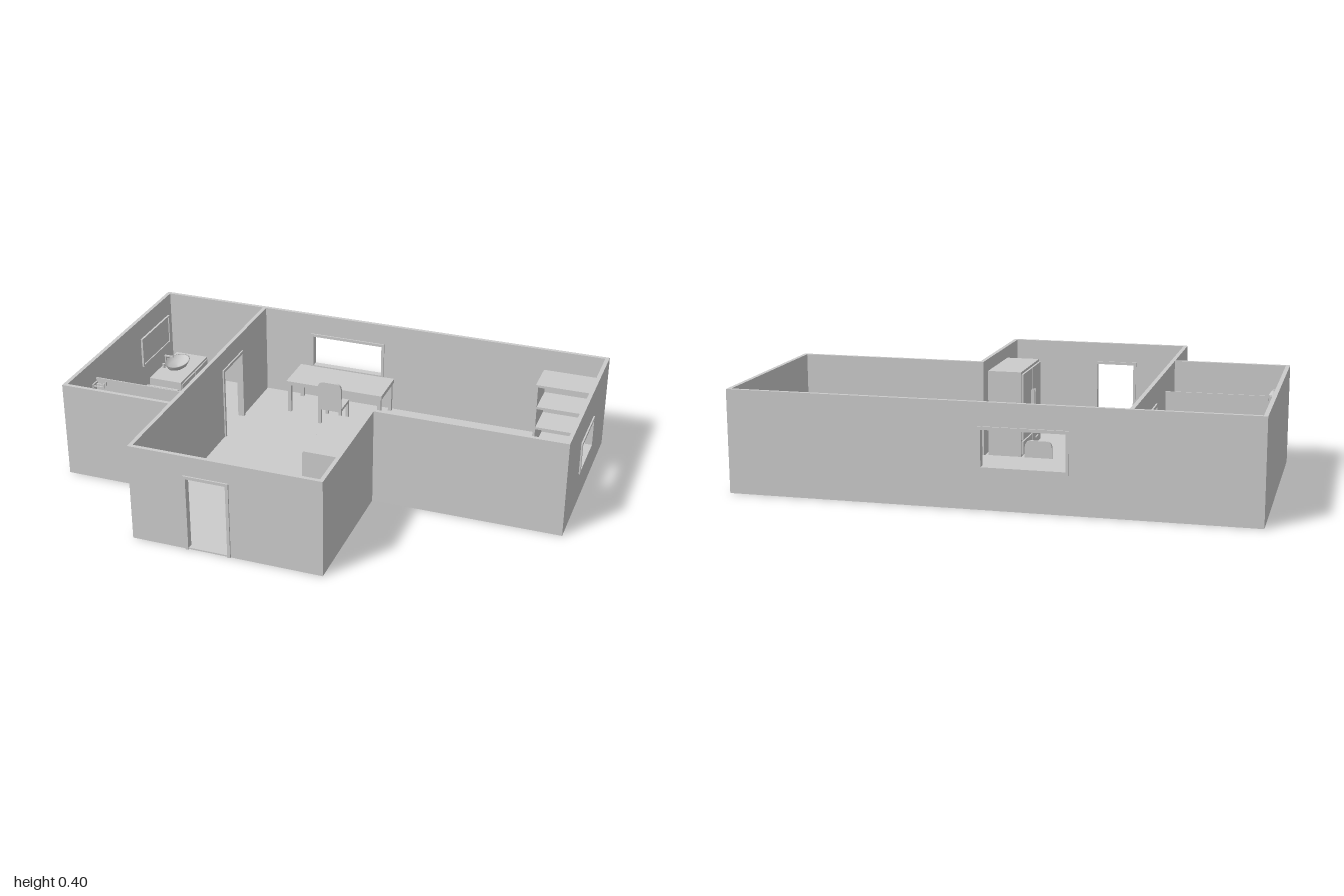
import * as THREE from 'three';

const mat = new THREE.MeshStandardMaterial({ color: 0xcccccc, side: THREE.DoubleSide });
const H = 0.4, T = 0.016;

function add(parent, name, geo, x = 0, y = 0, z = 0) {
  const m = new THREE.Mesh(geo, mat);
  m.name = name;
  m.position.set(x, y, z);
  parent.add(m);
  return m;
}

// box given by its lower and upper limits on each axis
function box(parent, name, x0, x1, y0, y1, z0, z1) {
  return add(parent, name, new THREE.BoxGeometry(x1 - x0, y1 - y0, z1 - z0),
    (x0 + x1) / 2, (y0 + y1) / 2, (z0 + z1) / 2);
}

function group(parent, name) {
  const g = new THREE.Group();
  g.name = name;
  parent.add(g);
  return g;
}

function cyl(parent, name, r0, r1, h, x, y, z, n = 24) {
  return add(parent, name, new THREE.CylinderGeometry(r0, r1, h, n), x, y, z);
}

// wall along x or z, centred on 'at', with an optional opening [from, to, bottom, top]
function wall(parent, name, axis, a, b, at, open) {
  const g = group(parent, name);
  const pts = [[a, 0], [b, 0], [b, H], [a, H]];
  const door = open && open[2] === 0;
  if (door) pts.splice(1, 0, [open[0], 0], [open[0], open[3]], [open[1], open[3]], [open[1], 0]);
  const shape = new THREE.Shape(pts.map(p => new THREE.Vector2(...p)));
  if (open && !door) {
    const [l, r, d, u] = open;
    shape.holes.push(new THREE.Path([[l, d], [l, u], [r, u], [r, d]].map(p => new THREE.Vector2(...p))));
  }
  add(g, 'wallPanel', new THREE.ExtrudeGeometry(shape, { depth: T, bevelEnabled: false }), 0, 0, -T / 2);
  if (open) { // trim around the opening
    const [l, r, d, u] = open, w = 0.012, t = T / 2 + 0.006;
    box(g, 'trimSide', l - w / 2, l + w / 2, d, u, -t, t);
    box(g, 'trimSide', r - w / 2, r + w / 2, d, u, -t, t);
    box(g, 'trimTop', l - w / 2, r + w / 2, u - w / 2, u + w / 2, -t, t);
    if (!door) box(g, 'trimSill', l - w / 2, r + w / 2, d - w / 2, d + w / 2, -t, t);
  }
  if (axis === 'z') { g.rotation.y = -Math.PI / 2; g.position.x = at; }
  else g.position.z = at;
}

function buildShell(root) {
  const plan = [[-1, -0.68], [1, -0.68], [1, 0.1], [0.235, 0.1], [0.235, 0.67], [-0.535, 0.67], [-0.535, 0.31], [-1, 0.31]];
  const floor = new THREE.ExtrudeGeometry(
    new THREE.Shape(plan.map(([x, z]) => new THREE.Vector2(x, -z))), { depth: 0.006, bevelEnabled: false });
  floor.rotateX(-Math.PI / 2);
  add(root, 'floor', floor);
  const h = T / 2;
  wall(root, 'backWall', 'x', -1, 1, -0.68 + h, [-0.3, 0.025, 0.155, 0.305]);
  wall(root, 'leftWall', 'z', -0.68, 0.1, 1 - h, [-0.39, -0.16, 0.14, 0.265]);
  wall(root, 'bedroomFrontWall', 'x', 0.235 - T, 1, 0.1 - h);
  wall(root, 'entryLeftWall', 'z', 0.1 - T, 0.67, 0.235 - h);
  wall(root, 'entryFrontWall', 'x', -0.535, 0.235, 0.67 - h, [-0.308, -0.137, 0, 0.313]);
  wall(root, 'innerWall', 'z', -0.68, 0.67, -0.535 + h, [-0.38, -0.18, 0, 0.313]);
  wall(root, 'bathroomFrontWall', 'x', -1, -0.535, 0.31 - h);
  wall(root, 'rightWall', 'z', -0.68, 0.31, -1 + h);
}

function buildDesk(root) {
  const desk = group(root, 'desk');
  box(desk, 'deskTop', -0.355, 0.08, 0.137, 0.155, -0.66, -0.48);
  for (const x of [-0.35, 0.06]) for (const z of [-0.655, -0.5])
    box(desk, 'deskLeg', x, x + 0.015, 0, 0.137, z, z + 0.015);
  box(desk, 'deskRail', -0.335, 0.06, 0.115, 0.137, -0.652, -0.644);

  const chair = group(root, 'chair');
  box(chair, 'seat', -0.187, -0.083, 0.075, 0.088, -0.53, -0.425);
  for (const x of [-0.187, -0.095]) for (const z of [-0.53, -0.437])
    box(chair, 'chairLeg', x, x + 0.012, 0, 0.075, z, z + 0.012);
  const back = new THREE.Shape();
  back.moveTo(-0.052, 0.08).lineTo(0.052, 0.08).lineTo(0.052, 0.18);
  back.quadraticCurveTo(0.052, 0.208, 0.025, 0.208).lineTo(-0.025, 0.208);
  back.quadraticCurveTo(-0.052, 0.208, -0.052, 0.18);
  add(chair, 'chairBack', new THREE.ExtrudeGeometry(back, { depth: 0.012, bevelEnabled: false }), -0.135, 0, -0.435);
}

function buildBedroom(root) {
  const bed = group(root, 'bed');
  box(bed, 'bedFrame', 0.735, 0.96, 0.03, 0.07, -0.4, 0.05);
  box(bed, 'mattress', 0.74, 0.955, 0.07, 0.11, -0.395, 0.05);
  box(bed, 'blanket', 0.73, 0.963, 0.05, 0.117, -0.402, -0.04);
  box(bed, 'pillow', 0.785, 0.91, 0.11, 0.132, -0.03, 0.03);
  for (const x of [0.737, 0.943]) box(bed, 'bedLeg', x, x + 0.015, 0, 0.03, -0.395, -0.38);
  // arched headboard with upright bars
  const r = 0.107, cx = 0.848, cy = 0.112, z = 0.057;
  add(bed, 'headboardArch', new THREE.TorusGeometry(r, 0.007, 8, 32, Math.PI), cx, cy, z);
  for (const s of [-1, 1]) cyl(bed, 'headboardPost', 0.007, 0.007, cy, cx + s * r, cy / 2, z, 12);
  for (let i = -4; i <= 4; i++) {
    const dx = i * 0.0215, top = cy + Math.sqrt(r * r - dx * dx);
    cyl(bed, 'headboardBar', 0.004, 0.004, top - 0.05, cx + dx, (top + 0.05) / 2, z, 8);
  }

  const shelf = group(root, 'shelfUnit');
  for (const x of [0.735, 0.957]) box(shelf, 'shelfSide', x, x + 0.01, 0, 0.31, -0.655, -0.51);
  for (const y of [0.01, 0.105, 0.2, 0.3]) box(shelf, 'shelf', 0.735, 0.967, y, y + 0.01, -0.655, -0.51);
  box(shelf, 'shelfBack', 0.735, 0.967, 0, 0.31, -0.66, -0.654);

  const robe = group(root, 'wardrobe');
  box(robe, 'wardrobeBody', 0.066, 0.205, 0, 0.36, 0.105, 0.42);
  for (const s of [-1, 1]) {
    const c = 0.2625 + s * 0.077;
    box(robe, 'wardrobeDoor', 0.058, 0.066, 0.135, 0.35, c - 0.073, c + 0.073);
    box(robe, 'doorHandle', 0.045, 0.058, 0.2, 0.26, c - s * 0.063 - 0.003, c - s * 0.063 + 0.003);
    for (const y of [0.015, 0.075]) {
      box(robe, 'drawer', 0.058, 0.066, y, y + 0.054, c - 0.073, c + 0.073);
      box(robe, 'drawerHandle', 0.052, 0.058, y + 0.025, y + 0.03, c - 0.02, c + 0.02);
    }
  }
}

function buildBathroom(root) {
  const vanity = group(root, 'vanity');
  box(vanity, 'vanityCabinet', -0.95, -0.8, 0, 0.13, -0.63, -0.35);
  for (const z of [-0.625, -0.488]) box(vanity, 'vanityDoor', -0.8, -0.795, 0.015, 0.12, z, z + 0.133);
  const basinPts = [[0.02, 0], [0.04, 0.01], [0.05, 0.03], [0.046, 0.03], [0.035, 0.013], [0, 0.006]];
  const basin = add(vanity, 'basin', new THREE.LatheGeometry(basinPts.map(p => new THREE.Vector2(...p)), 32), -0.88, 0.13, -0.49);
  basin.scale.z = 1.5;
  cyl(vanity, 'tapColumn', 0.004, 0.004, 0.05, -0.937, 0.155, -0.49, 12);
  box(vanity, 'tapSpout', -0.94, -0.9, 0.174, 0.18, -0.494, -0.486);
  for (const s of [-1, 1]) cyl(vanity, 'tapHandle', 0.007, 0.007, 0.02, -0.935, 0.14, -0.49 + s * 0.025, 12);

  const mirror = group(root, 'mirror');
  box(mirror, 'mirrorPane', -0.985, -0.98, 0.185, 0.305, -0.62, -0.36);
  for (const y of [0.178, 0.302]) box(mirror, 'mirrorFrame', -0.985, -0.975, y, y + 0.008, -0.628, -0.352);
  for (const z of [-0.628, -0.36]) box(mirror, 'mirrorFrame', -0.985, -0.975, 0.178, 0.31, z, z + 0.008);

  // open laundry basket with a handle at each end
  const basket = group(root, 'laundryBasket');
  box(basket, 'basketBottom', -0.945, -0.805, 0.006, 0.016, -0.32, -0.225);
  for (const x of [-0.95, -0.81]) box(basket, 'basketSide', x, x + 0.01, 0.006, 0.11, -0.325, -0.22);
  for (const s of [-1, 1]) {
    const z = -0.2725 + s * 0.0475;
    box(basket, 'basketEnd', -0.95, -0.8, 0.006, 0.11, z - 0.005, z + 0.005);
    const handle = add(basket, 'basketHandle', new THREE.TorusGeometry(0.016, 0.003, 8, 16, Math.PI), -0.875, 0.09, z + s * 0.004);
    handle.rotation.x = s * Math.PI / 2;
  }

  const toilet = group(root, 'toilet');
  box(toilet, 'tank', -0.963, -0.928, 0.08, 0.17, -0.163, -0.073);
  box(toilet, 'tankLid', -0.965, -0.926, 0.17, 0.178, -0.165, -0.071);
  cyl(toilet, 'flushButton', 0.007, 0.007, 0.006, -0.945, 0.18, -0.118, 16);
  const bowlPts = [[0.03, 0], [0.025, 0.03], [0.045, 0.075], [0.047, 0.09], [0.03, 0.09], [0.02, 0.06], [0, 0.05]];
  const bowl = add(toilet, 'bowl', new THREE.LatheGeometry(bowlPts.map(p => new THREE.Vector2(...p)), 32), -0.872, 0.006, -0.118);
  bowl.scale.x = 1.12;
  box(toilet, 'bowlSupport', -0.963, -0.89, 0.006, 0.085, -0.143, -0.093);

  cyl(root, 'bin', 0.03, 0.024, 0.07, -0.925, 0.041, -0.018);

  // shower screen, taps and head
  const shower = group(root, 'shower');
  box(shower, 'showerScreen', -0.984, -0.535, 0, 0.32, 0.058, 0.063);
  box(shower, 'screenHandle', -0.63, -0.575, 0.15, 0.16, 0.053, 0.068);
  box(shower, 'towelRail', -0.984, -0.978, 0.29, 0.305, 0.045, 0.1);
  for (const z of [0.052, 0.072, 0.092]) {
    box(shower, 'hook', -0.98, -0.935, 0.293, 0.298, z - 0.003, z + 0.003);
    box(shower, 'hookTip', -0.938, -0.933, 0.293, 0.312, z - 0.003, z + 0.003);
  }
  box(shower, 'showerArm', -0.984, -0.945, 0.318, 0.324, 0.167, 0.173);
  cyl(shower, 'showerHead', 0.006, 0.018, 0.018, -0.948, 0.312, 0.17, 16);
  cyl(shower, 'showerPipe', 0.003, 0.003, 0.17, -0.975, 0.235, 0.17, 8);
  for (const z of [0.152, 0.188]) cyl(shower, 'showerTap', 0.007, 0.007, 0.02, -0.972, 0.15, z, 12).rotation.z = Math.PI / 2;
}

export function createModel() {
  const root = new THREE.Group();
  root.name = 'apartment';
  [buildShell, buildDesk, buildBedroom, buildBathroom].forEach(build => build(root));
  return root;
}
